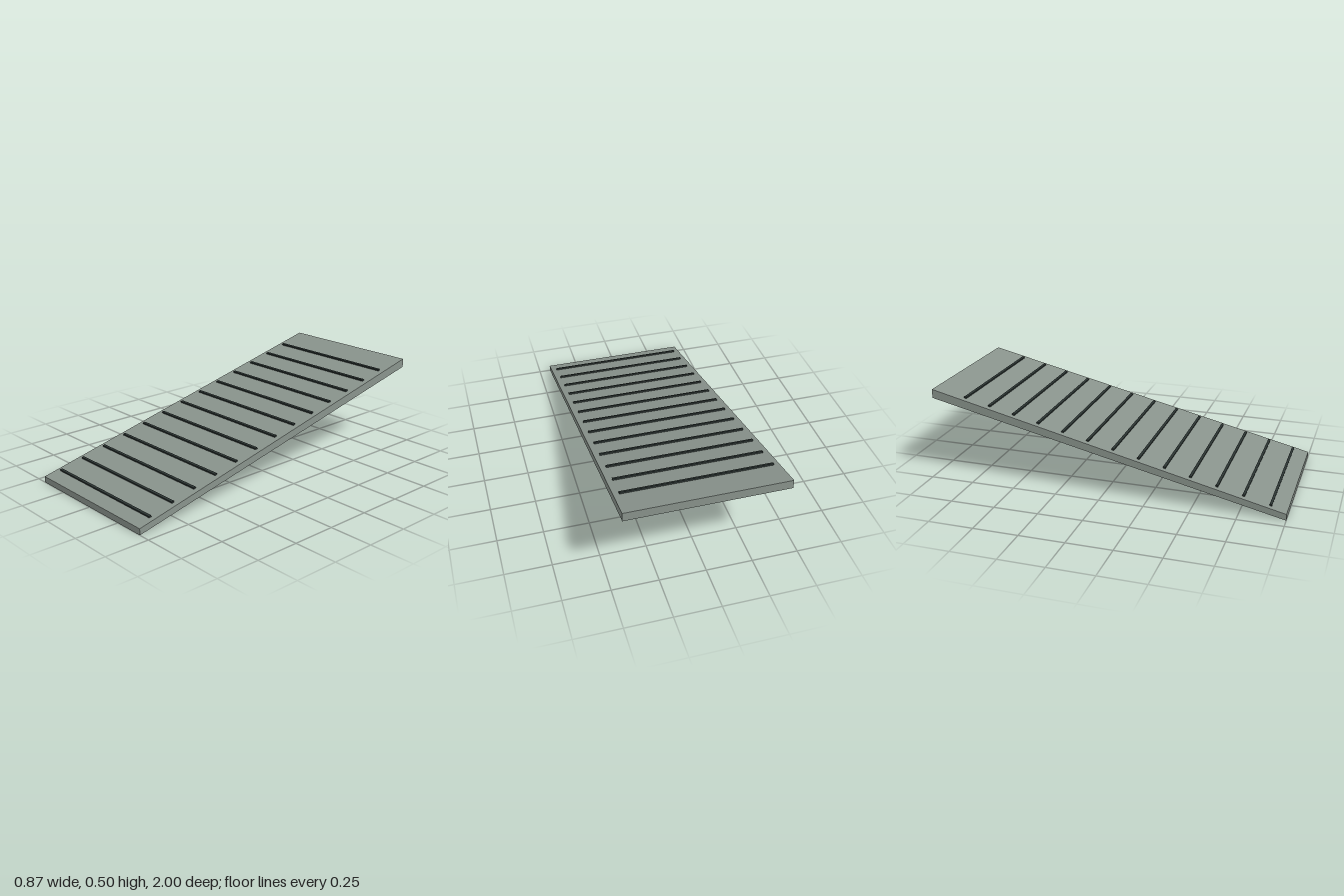
import * as THREE from 'three';

export function createModel() {
  const group = new THREE.Group();
  const width = 0.866;
  const frontTop = 0.035, backTop = 0.505, backBottom = 0.455;

  // Sloping deck: side profile (z, y) extruded across the width
  const profile = new THREE.Shape([
    new THREE.Vector2(-1, 0),
    new THREE.Vector2(1, backBottom),
    new THREE.Vector2(1, backTop),
    new THREE.Vector2(-1, frontTop),
  ]);
  const deckGeometry = new THREE.ExtrudeGeometry(profile, { depth: width, bevelEnabled: false });
  deckGeometry.translate(0, 0, -width / 2);
  deckGeometry.rotateY(Math.PI / 2);
  const deck = new THREE.Mesh(deckGeometry, new THREE.MeshStandardMaterial({ color: 0x89938c }));
  deck.name = 'rampDeck';
  group.add(deck);

  // Dark grip strips, evenly spaced up the slope
  const strips = new THREE.Group();
  strips.name = 'gripStrips';
  const stripGeometry = new THREE.BoxGeometry(0.804, 0.009, 0.014);
  const stripMaterial = new THREE.MeshStandardMaterial({ color: 0x2a3331 });
  const slope = (backTop - frontTop) / 2;
  for (let i = 0; i < 13; i++) {
    const z = 0.912 - i * 0.1437;
    const strip = new THREE.Mesh(stripGeometry, stripMaterial);
    strip.name = `gripStrip${i + 1}`;
    strip.position.set(0, frontTop + (1 - z) * slope + 0.005, z);
    strip.rotation.x = Math.atan(slope);
    strips.add(strip);
  }
  group.add(strips);

  return group;
}
